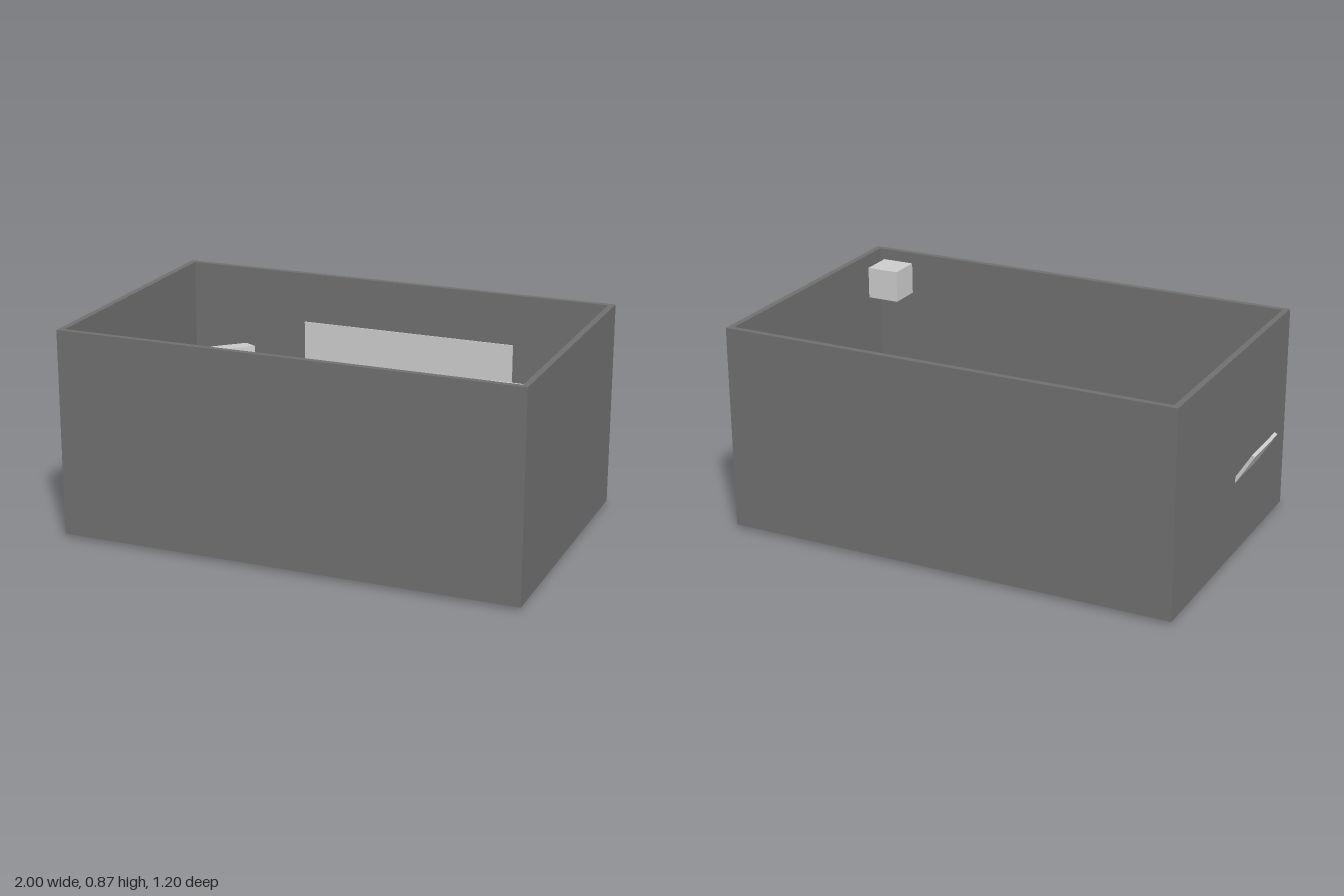
import * as THREE from 'three';
import { ConvexGeometry } from 'three/addons/geometries/ConvexGeometry.js';

const grey = new THREE.MeshStandardMaterial({ color: 0xcccccc });
const flatGrey = new THREE.MeshStandardMaterial({ color: 0xcccccc, flatShading: true });
const dark = new THREE.MeshStandardMaterial({ color: 0x6f6f6f });

function add(parent, name, geometry, position, material = grey, rotation = [0, 0, 0]) {
  const mesh = new THREE.Mesh(geometry, material);
  mesh.name = name;
  mesh.position.set(...position);
  mesh.rotation.set(...rotation, 'YXZ');
  parent.add(mesh);
  return mesh;
}

const box = (w, h, d) => new THREE.BoxGeometry(w, h, d);

function group(parent, name, position, rotation = [0, 0, 0]) {
  const g = new THREE.Group();
  g.name = name;
  g.position.set(...position);
  g.rotation.set(...rotation, 'YXZ');
  parent.add(g);
  return g;
}

// Open-topped room: floor slab plus a rectangular ring of walls
function buildRoom(root) {
  const room = group(root, 'room', [0.04, 0.015, 0]);
  const w = 0.96, d = 0.6, t = 0.025;
  const outline = new THREE.Shape([[-w, -d], [w, -d], [w, d], [-w, d]].map(p => new THREE.Vector2(...p)));
  const iw = w - t, id = d - t;
  outline.holes.push(new THREE.Path([[-iw, -id], [-iw, id], [iw, id], [iw, -id]].map(p => new THREE.Vector2(...p))));
  const walls = new THREE.ExtrudeGeometry(outline, { depth: 0.855, bevelEnabled: false }).rotateX(-Math.PI / 2);
  add(room, 'walls', walls, [0, 0, 0], dark);
  add(room, 'floor', box(2 * iw, t, 2 * id), [0, t / 2, 0], dark);
}

// Table with four legs, turned slightly
function buildTable(root) {
  const table = group(root, 'table', [0.708, 0, 0.205], [0, 0.135, 0]);
  add(table, 'tableTop', box(0.415, 0.025, 0.67), [0, 0.335, 0]);
  for (const x of [-1, 1]) for (const z of [-1, 1])
    add(table, 'tableLeg', box(0.03, 0.29, 0.03), [x * 0.17, 0.18, z * 0.29]);
}

// Round stool lying on its side, legs pointing towards the front right corner
function buildStool(root) {
  const stool = group(root, 'fallenStool', [-0.37, 0.113, -0.14], [0, -Math.PI / 4, 0]);
  add(stool, 'stoolSeat', new THREE.CylinderGeometry(0.113, 0.113, 0.018, 32).rotateX(Math.PI / 2), [0, 0, 0]);
  for (const x of [-1, 1]) for (const y of [-1, 1])
    add(stool, 'stoolLeg', box(0.022, 0.022, 0.15), [x * 0.07, y * 0.065, 0.083]);
}

export function createModel() {
  const root = new THREE.Group();
  root.name = 'furnishedRoom';
  buildRoom(root);
  buildTable(root);
  buildStool(root);

  // Panels fixed to the walls
  add(root, 'backBoard', box(0.945, 0.45, 0.006), [0.104, 0.43, -0.573]);
  add(root, 'sidePanel', box(0.014, 0.22, 0.7), [-0.888, 0.15, 0.19]);

  // Plank leaning through the side wall and tall cabinet tilted back in the corner
  add(root, 'leaningPlank', box(0.014, 0.515, 0.26), [-0.855, 0.235, 0.162], grey, [0, 0, 0.555]);
  add(root, 'cabinet', box(0.32, 0.53, 0.085), [-0.696, 0.282, -0.375], grey, [-0.09, 0.885, -0.04]);

  // Loose boxes on the floor
  add(root, 'lowerBox', box(0.16, 0.1, 0.125), [0.005, 0.09, -0.373]);
  add(root, 'upperBox', box(0.134, 0.12, 0.166), [0.07, 0.1, -0.303]);
  add(root, 'turnedBox', box(0.12, 0.12, 0.163), [0.371, 0.1, -0.118], grey, [0, -0.71, 0]);
  add(root, 'boxUnderTable', box(0.05, 0.12, 0.17), [0.635, 0.1, -0.125], grey, [0, -0.78, 0]);

  // Objects on the table
  add(root, 'ball', new THREE.SphereGeometry(0.064, 32, 20), [0.612, 0.411, 0.18]);
  const pyramid = [[-0.065, 0.05, 0.01], [0, 0.06, -0.055], [0.07, 0.07, -0.02], [0.01, 0, 0.075], [0, 0, 0]];
  add(root, 'pyramid', new ConvexGeometry(pyramid.map(p => new THREE.Vector3(...p))), [0.75, 0.347, 0.05], flatGrey);

  // Cube mounted high in the front corner
  add(root, 'cornerCube', box(0.14, 0.135, 0.14), [0.882, 0.757, 0.5]);
  return root;
}
